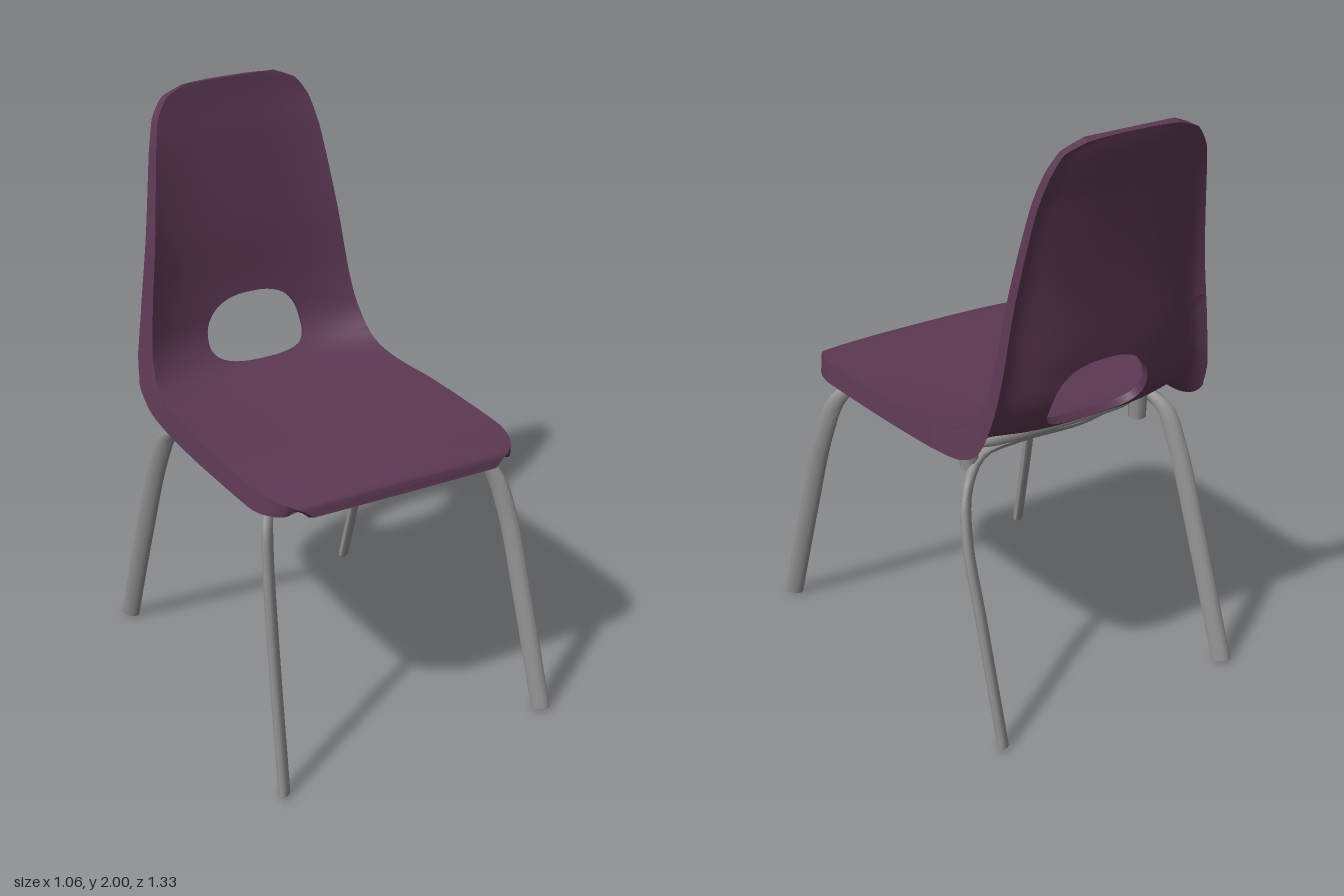
import * as THREE from 'three';
import { toCreasedNormals } from 'three/addons/utils/BufferGeometryUtils.js';

const V = (x, y, z) => new THREE.Vector3(x, y, z);

// Shell stations from front lip to top of back: z, y, half width, edge curl, edge depth
const stations = [
  [0.553, 0.94, 0.34, -0.003, 0.028], [0.54, 0.978, 0.395, -0.008, 0.038], [0.49, 0.998, 0.437, -0.01, 0.055],
  [0.38, 1.0, 0.466, -0.005, 0.066], [0, 0.988, 0.466, 0.01, 0.07], [-0.25, 0.984, 0.45, 0.014, 0.075],
  [-0.38, 0.99, 0.433, 0.04, 0.1], [-0.45, 1.017, 0.424, 0.06, 0.108], [-0.515, 1.1, 0.413, 0.067, 0.092],
  [-0.54, 1.24, 0.392, 0.055, 0.072], [-0.558, 1.5, 0.358, 0.042, 0.056], [-0.599, 1.8, 0.315, 0.025, 0.042],
  [-0.619, 1.9, 0.29, 0.015, 0.036], [-0.631, 1.965, 0.247, 0.01, 0.03], [-0.635, 2.0, 0.17, 0, 0.026],
];
const LAST = stations.length - 1;
const spine = new THREE.CatmullRomCurve3(stations.map(([z, y]) => V(0, y, z)));
const section = new THREE.CatmullRomCurve3(stations.map(([, , w, c, d]) => V(w, c, d)));
const THICK = 0.026;

// Point on the sitting surface; u runs across (-1..1), t along the stations
function surface(u, t) {
  const k = THREE.MathUtils.clamp(t / LAST, 0, 1);
  const p = spine.getPoint(k), s = section.getPoint(k);
  const n = V(1, 0, 0).cross(spine.getTangent(k));
  p.addScaledVector(n, s.y * Math.abs(u) ** 3);
  p.x = u * s.x;
  return p;
}

// Matching points on the sitting surface and the underside; the sides flare into a deep rim
function pair([u, t]) {
  const e = 0.02, t0 = Math.max(0, t - e), t1 = Math.min(LAST, t + e);
  const across = surface(u + e, t).sub(surface(u - e, t));
  const along = surface(u, t1).sub(surface(u, t0));
  const n = across.cross(along).normalize();
  const top = surface(u, t), flare = Math.abs(u) ** 16;
  const depth = THICK + (section.getPoint(t / LAST).z - THICK) * flare;
  const under = top.clone().addScaledVector(n, -depth);
  under.x = top.x + (under.x - top.x) * (1 - flare) + Math.sign(u) * flare * 0.2 * depth;
  return { top, under };
}

function shellGeometry() {
  const pos = [];
  const quad = (a, b, c, d) => [a, b, c, a, c, d].forEach((p) => pos.push(p.x, p.y, p.z));
  const du = 1 / 16, dt = 1 / 8;
  const skin = (a, b, c, d) => {
    quad(a.top, b.top, c.top, d.top);
    quad(d.under, c.under, b.under, a.under);
  };
  const rim = (a, b) => quad(a.top, a.under, b.under, b.top);
  const grid = (t0, t1) => {
    for (let t = t0; t < t1; t += dt)
      for (let u = -1; u < 1; u += du)
        skin(pair([u, t]), pair([u + du, t]), pair([u + du, t + dt]), pair([u, t + dt]));
  };
  const perimeter = (t0, t1) => {
    const loop = [];
    for (let u = -1; u < 1; u += du) loop.push([u, t0]);
    for (let t = t0; t < t1; t += dt) loop.push([1, t]);
    for (let u = 1; u > -1; u -= du) loop.push([u, t1]);
    for (let t = t1; t > t0; t -= dt) loop.push([-1, t]);
    return loop;
  };

  // Seat and upper back
  grid(0, 6.5);
  grid(9.5, LAST);

  // Band around the rounded hand hole
  const cu = 0.045, ct = 8, ru = 0.455, rt = 1;
  const outer = perimeter(6.5, 9.5);
  const inner = outer.map(([u, t]) => {
    const x = (u - cu) / ru, y = (t - ct) / rt;
    const k = (Math.abs(x) ** 2.6 + Math.abs(y) ** 2.6) ** (-1 / 2.6);
    return [cu + x * k * ru, ct + y * k * rt];
  });
  const RINGS = 12, loops = [];
  for (let r = 0; r <= RINGS; r++)
    loops.push(outer.map(([u, t], i) => pair([
      u + (inner[i][0] - u) * r / RINGS, t + (inner[i][1] - t) * r / RINGS])));
  outer.forEach((_, i) => {
    const j = (i + 1) % outer.length;
    for (let r = 0; r < RINGS; r++)
      skin(loops[r][i], loops[r][j], loops[r + 1][j], loops[r + 1][i]);
    rim(loops[RINGS][j], loops[RINGS][i]);
  });

  // Outer edge
  const edge = perimeter(0, LAST).map(pair);
  edge.forEach((p, i) => rim(p, edge[(i + 1) % edge.length]));

  const g = new THREE.BufferGeometry();
  g.setAttribute('position', new THREE.Float32BufferAttribute(pos, 3));
  return toCreasedNormals(g, 0.8);
}

// Oval tube, wider along the given direction, with a closed foot
function legGeometry(path, wide) {
  const rows = 40, sides = 10;
  const g = new THREE.TubeGeometry(path, rows, 0.018, sides);
  const p = g.attributes.position, v = V(0, 0, 0);
  for (let i = 0; i < p.count; i++) {
    const centre = path.getPointAt(Math.floor(i / (sides + 1)) / rows);
    v.fromBufferAttribute(p, i).sub(centre);
    v.addScaledVector(wide, v.dot(wide) * 0.85).add(centre);
    p.setXYZ(i, v.x, Math.max(v.y, 0), v.z);
  }
  const cap = [];
  for (let i = 1; i < sides - 1; i++) cap.push(0, i, i + 1);
  g.setIndex([...g.index.array, ...cap, ...cap.slice().reverse()]);
  return toCreasedNormals(g, 0.8);
}

export function createModel() {
  const model = new THREE.Group();
  const plastic = new THREE.MeshStandardMaterial({ color: 0x5c3852 });
  plastic.name = 'plum plastic';
  const metal = new THREE.MeshStandardMaterial({ color: 0x909090 });
  metal.name = 'grey metal';
  const add = (name, geometry, material) => {
    const m = new THREE.Mesh(geometry, material);
    m.name = name;
    model.add(m);
    return m;
  };

  add('seatShell', shellGeometry(), plastic);

  // Support ring under the seat
  const ring = [];
  const X = 0.385, Z0 = -0.3, Z1 = 0.4, R = 0.16;
  [[X - R, Z1 - R, 0], [-X + R, Z1 - R, 1], [-X + R, Z0 + R, 2], [X - R, Z0 + R, 3]].forEach(([x, z, q]) => {
    for (let i = 0; i <= 4; i++) {
      const a = (q + i / 4) * Math.PI / 2;
      ring.push(V(x + R * Math.cos(a), 0.914, z + R * Math.sin(a)));
    }
  });
  add('seatRing', new THREE.TubeGeometry(new THREE.CatmullRomCurve3(ring, true), 72, 0.021, 8, true), metal);

  // Legs, each listed from the foot up; the rear left one runs on as the rear crossbar
  const legs = {
    frontLeftLeg: [[0.505, 0.008, 0.638], [0.485, 0.4, 0.53], [0.46, 0.7, 0.452], [0.425, 0.84, 0.41], [0.36, 0.905, 0.36], [0.3, 0.912, 0.3]],
    frontRightLeg: [[-0.505, 0.008, 0.64], [-0.475, 0.4, 0.53], [-0.445, 0.75, 0.435], [-0.425, 0.87, 0.395], [-0.385, 0.912, 0.33], [-0.375, 0.912, 0.25]],
    rearLeftLeg: [[0.46, 0.008, -0.635], [0.45, 0.4, -0.5], [0.435, 0.65, -0.4], [0.39, 0.79, -0.335], [0.29, 0.87, -0.28], [0.14, 0.893, -0.285], [-0.1, 0.895, -0.295], [-0.28, 0.91, -0.27]],
    rearRightLeg: [[-0.46, 0.008, -0.635], [-0.45, 0.4, -0.505], [-0.435, 0.75, -0.385], [-0.42, 0.87, -0.325], [-0.385, 0.912, -0.24], [-0.375, 0.912, -0.16]],
  };
  for (const [name, points] of Object.entries(legs)) {
    const path = new THREE.CatmullRomCurve3(points.map((p) => V(...p)));
    const wide = V(Math.sign(points[0][0]), 0, Math.sign(points[0][2])).normalize();
    add(name, legGeometry(path, wide), metal);
  }

  // Mounting blocks between ring and shell
  for (const side of [-1, 1]) {
    const rear = add('rearMount', new THREE.CylinderGeometry(0.035, 0.03, 0.12, 8), metal);
    rear.position.set(side * 0.345, 0.892, -0.28);
    const front = add('frontMount', new THREE.BoxGeometry(0.09, 0.05, 0.05), metal);
    front.position.set(side * 0.37, 0.93, 0.37);
  }
  return model;
}
